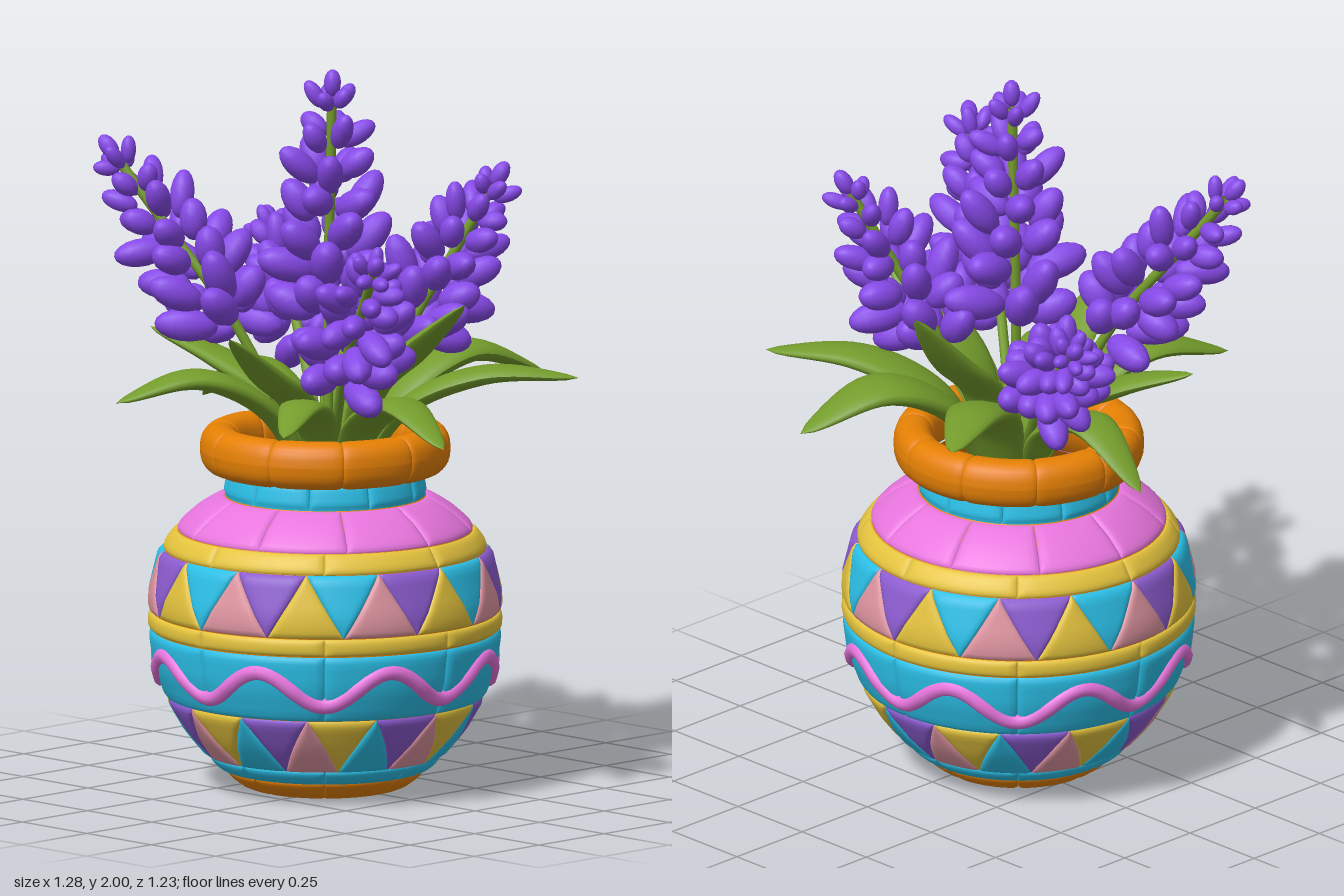
import * as THREE from 'three';

const V = (x, y, z) => new THREE.Vector3(x, y, z);
const TAU = Math.PI * 2;
const mat = (name, color, side = THREE.FrontSide) => {
  const m = new THREE.MeshStandardMaterial({ color, side });
  m.name = name;
  return m;
};

// Surface from a rule f(u, v) -> Vector3, front face where u x v points outward
function grid(nu, nv, f) {
  const pos = [], idx = [];
  for (let j = 0; j <= nv; j++)
    for (let i = 0; i <= nu; i++) pos.push(...f(i / nu, j / nv).toArray());
  for (let j = 0; j < nv; j++)
    for (let i = 0; i < nu; i++) {
      const a = j * (nu + 1) + i, b = a + nu + 1;
      idx.push(a, a + 1, b + 1, a, b + 1, b);
    }
  const g = new THREE.BufferGeometry();
  g.setAttribute('position', new THREE.Float32BufferAttribute(pos, 3));
  g.setIndex(idx);
  g.computeVertexNormals();
  return g;
}

// Pot outline: [height, radius]
const OUTLINE = [[0, 0.18], [0.02, 0.222], [0.055, 0.27], [0.1, 0.32], [0.17, 0.378], [0.25, 0.425], [0.35, 0.462],
  [0.45, 0.475], [0.55, 0.474], [0.65, 0.45], [0.72, 0.402], [0.77, 0.345], [0.815, 0.27], [0.88, 0.258]];
function radiusAt(y) {
  let i = 0;
  while (i < OUTLINE.length - 2 && y > OUTLINE[i + 1][0]) i++;
  const [y0, r0] = OUTLINE[i], [y1, r1] = OUTLINE[i + 1];
  return r0 + (r1 - r0) * (y - y0) / (y1 - y0);
}
function onPot(t, y, lift) {
  const slope = (radiusAt(y + 0.015) - radiusAt(y - 0.015)) / 0.03;
  const k = lift / Math.hypot(1, slope);
  const r = radiusAt(y) + k;
  return V(r * Math.sin(t), Math.max(0, y - k * slope), r * Math.cos(t));
}

// Pillowed tile; its half width can taper from w0 (bottom) to w1 (top)
const ease = (s) => 0.5 - 0.5 * Math.cos(Math.PI * s);
function tile(y0, y1, tc, w0, w1) {
  return grid(12, 10, (u, v) => {
    const a = ease(u), b = ease(v), y = y0 + (y1 - y0) * b, w = w0 + (w1 - w0) * b;
    const d = Math.min(Math.min(a, 1 - a) * 2 * w * radiusAt(y), Math.min(b, 1 - b) * (y1 - y0));
    const q = 1 - Math.min(1, d / 0.02);
    return onPot(tc + (2 * a - 1) * w, y, 0.011 * Math.sqrt(1 - q * q) - 0.001);
  });
}

export function createModel() {
  const model = new THREE.Group();
  const M = {
    orange: mat('orange clay', 0xe58004, THREE.DoubleSide),
    cyan: mat('cyan glaze', 0x2cc2ea),
    yellow: mat('yellow glaze', 0xe4c33e),
    magenta: mat('magenta glaze', 0xe876de),
    rose: mat('rose glaze', 0xe096a2),
    violet: mat('violet glaze', 0x8c5cd0),
    green: mat('leaf green', 0x749c2c, THREE.DoubleSide),
    flower: mat('flower purple', 0x884aea),
  };
  const add = (parent, name, geo, m) => {
    const mesh = new THREE.Mesh(geo, m);
    mesh.name = name;
    parent.add(mesh);
    return mesh;
  };
  const group = (name) => {
    const g = new THREE.Group();
    g.name = name;
    model.add(g);
    return g;
  };

  // Pot bands made of tiles
  const pot = group('pot');
  pot.position.set(-0.055, 0, 0.027);
  const bands = [
    ['footBand', 0.004, 0.055, 8, 0, M.orange], ['lowerTrim', 0.056, 0.095, 8, 0, M.cyan],
    ['waveBand', 0.257, 0.442, 8, 0, M.cyan], ['middleTrim', 0.445, 0.492, 8, 0, M.yellow],
    ['upperTrim', 0.665, 0.717, 8, 0, M.yellow], ['shoulder', 0.719, 0.812, 10, 0.5, M.magenta],
    ['neck', 0.813, 0.885, 10, 0, M.cyan],
  ];
  for (const [name, y0, y1, n, shift, m] of bands)
    for (let i = 0; i < n; i++) {
      const w = Math.PI / n;
      add(pot, name, tile(y0, y1, (i + shift) * 2 * w + w, w, w), m);
    }
  // Two rings of alternating triangles
  const rings = [
    ['lowerTriangle', 0.097, 0.256, [M.yellow, M.cyan, M.violet, M.rose]],
    ['upperTriangle', 0.494, 0.664, [M.cyan, M.rose, M.violet, M.yellow]],
  ];
  for (const [name, y0, y1, colours] of rings)
    for (let i = 0; i < 28; i++) {
      const full = TAU / 28, tip = 0.004;
      add(pot, name, i % 2 ? tile(y0, y1, i * full, full, tip) : tile(y0, y1, i * full, tip, full), colours[i % 4]);
    }
  // Raised wave, almost flush with the band
  const wave = [];
  for (let i = 0; i < 96; i++) {
    const t = i / 96 * TAU;
    wave.push(onPot(t, 0.35 - 0.046 * Math.cos(8 * t), 0.001));
  }
  add(pot, 'wave', new THREE.TubeGeometry(new THREE.CatmullRomCurve3(wave, true), 192, 0.023, 10, true), M.magenta);
  // Base disc and inner wall
  const base = add(pot, 'base', new THREE.CylinderGeometry(0.18, 0.176, 0.012, 40), M.orange);
  base.position.y = 0.006;
  const wall = OUTLINE.map(([y, r]) => new THREE.Vector2(r - 0.006, y + 0.004));
  add(pot, 'innerWall', new THREE.LatheGeometry(wall, 48), M.orange);
  // Rounded rim in ten pinched segments
  const sgnPow = (c, p) => Math.sign(c) * Math.pow(Math.abs(c), p);
  for (let i = 0; i < 10; i++)
    add(pot, 'rim', grid(12, 24, (u, v) => {
      const a = ease(u), t = (i + 0.5 + a) * TAU / 10, p = v * TAU;
      const q = 1 - Math.min(1, Math.min(a, 1 - a) / 0.1), k = 0.9 + 0.1 * Math.sqrt(1 - q * q);
      const r = 0.288 + 0.055 * k * sgnPow(Math.cos(p), 0.85);
      return V(r * Math.sin(t), 0.943 + 0.066 * k * sgnPow(Math.sin(p), 0.85), r * Math.cos(t));
    }), M.orange);

  // Leaves: tip x, y, z, arch height of the middle, half width
  const leaves = group('leaves');
  const leafList = [
    [-0.38, 1.18, -0.55, 1.18, 0.088], [0.14, 1.1, -0.62, 1.17, 0.1], [0.53, 1.16, -0.37, 1.15, 0.08],
    [0.46, 1.4, 0.0, 1.24, 0.08], [0.59, 1.04, 0.21, 1.11, 0.075], [0.23, 1.06, 0.47, 1.1, 0.068],
    [0.03, 1.31, 0.48, 1.17, 0.075], [-0.28, 1.11, 0.61, 1.15, 0.085], [-0.55, 1.24, 0.21, 1.16, 0.075],
    [-0.64, 1.0, -0.08, 1.11, 0.075], [-0.12, 1.46, -0.43, 1.26, 0.088],
  ];
  for (const [x, y, z, mid, width] of leafList) {
    const tip = V(x, y, z), root = V(-0.04, 0.9, 0.02);
    const along = (s, h) => root.clone().lerp(tip, s).setY(h);
    const curve = new THREE.CatmullRomCurve3([along(0.12, 0.88), along(0.3, 0.9 + (mid - 0.9) * 0.65), along(0.62, mid + 0.01), tip]);
    add(leaves, 'leaf', grid(16, 24, (u, v) => {
      const c = curve.getPoint(v), d = curve.getTangent(v);
      const side = V(d.z, 0, -d.x).normalize(), up = d.clone().cross(side).normalize();
      const taper = v < 0.55 ? 0.5 + 0.5 * Math.sin(v / 0.55 * Math.PI / 2) : 1 - 0.8 * Math.pow((v - 0.55) / 0.45, 1.6);
      const w = width * taper * Math.sqrt(1 - Math.pow(v, 30)), a = u * TAU;
      return c.addScaledVector(side, -w * Math.cos(a)).addScaledVector(up, 0.36 * w * Math.sin(a));
    }), M.green);
  }

  // Flower spikes: stem foot, first blossom, tip, size
  const flowers = group('flowers');
  const bud = new THREE.SphereGeometry(1, 12, 9);
  const spikes = [
    [V(-0.04, 0.9, 0.03), V(-0.04, 1.37, 0.03), V(-0.015, 1.92, 0.04), 1.08],
    [V(0.0, 0.9, 0.06), V(0.23, 1.24, 0.23), V(0.58, 1.56, 0.47), 1.02],
    [V(0.0, 0.9, 0.0), V(0.12, 1.3, -0.14), V(0.28, 1.67, -0.285), 1.02],
    [V(-0.08, 0.9, 0.06), V(-0.27, 1.33, 0.2), V(-0.55, 1.72, 0.335), 1.02],
    [V(-0.08, 0.9, 0.0), V(-0.34, 1.25, -0.14), V(-0.58, 1.45, -0.285), 0.95],
  ];
  const up = V(0, 1, 0);
  spikes.forEach(([foot, start, tip, size], k) => {
    const spike = new THREE.Group();
    spike.name = 'flowerSpike';
    flowers.add(spike);
    const stem = new THREE.CatmullRomCurve3([foot, start, start.clone().lerp(tip, 0.5), tip]);
    add(spike, 'stem', new THREE.TubeGeometry(stem, 20, 0.014, 7), M.green);
    const axis = tip.clone().sub(start).normalize();
    const turn = new THREE.Quaternion().setFromUnitVectors(up, axis);
    const rows = 7;
    for (let r = 0; r < rows; r++) {
      const s = r / (rows - 1), n = 5;
      const half = size * (0.076 - 0.04 * s * s), reach = size * (0.102 - 0.062 * s * s);
      for (let i = 0; i < n; i++) {
        const a = (i + (r % 2) * 0.5 + k * 0.23) / n * TAU + r * 0.2;
        const vary = 1 + 0.14 * Math.sin(i * 5.1 + r * 3.7 + k);
        const out = V(Math.cos(a), 0, Math.sin(a)).applyQuaternion(turn);
        const dir = out.clone().addScaledVector(axis, 0.7 + 0.5 * s + 0.5 * Math.sin(i * 2.9 + r * 1.7)).normalize();
        const m = add(spike, 'blossom', bud, M.flower);
        m.position.copy(start).lerp(tip, s).addScaledVector(out, reach * vary)
          .addScaledVector(axis, 0.025 * (1 - 0.6 * s) * Math.sin(i * 2.3 + r));
        m.quaternion.setFromUnitVectors(up, dir);
        m.scale.set(half * 0.58, half * vary, half * 0.58);
      }
    }
    // Closing bud at the top
    const top = add(spike, 'blossom', bud, M.flower);
    top.position.copy(tip).addScaledVector(axis, 0.042);
    top.quaternion.copy(turn);
    top.scale.set(0.024, 0.038, 0.024);
  });
  return model;
}
